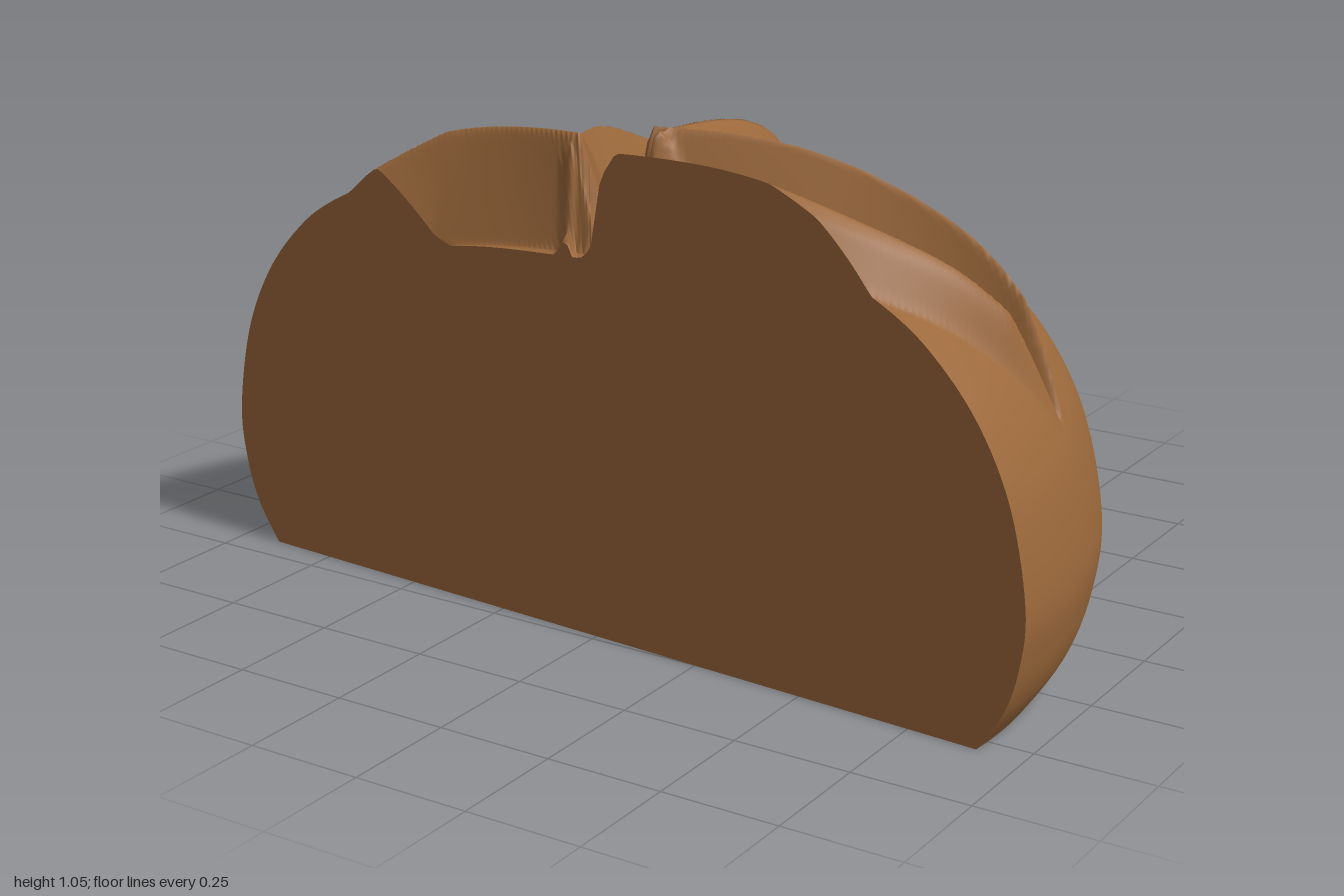
import * as THREE from 'three';

// Open underneath, so the shell shows from both sides
const CRUST = new THREE.MeshStandardMaterial({ color: 0x9b683b, side: THREE.DoubleSide });
CRUST.name = 'crust brown';

const COLS = 380, ROWS = 140;
const POLE_Z = 0.485, CENTRE_Z = 0.45;      // middle of the cut, middle of the round loaf
const TILT = Math.atan(0.0625);             // angle of the cut

// Dome profile: radius, height
const profile = new THREE.SplineCurve([
  [0, 0.97], [0.3, 0.95], [0.5, 0.902], [0.7, 0.813], [0.81, 0.73], [0.9, 0.62],
  [0.965, 0.48], [1, 0.3], [0.99, 0.18], [0.96, 0.085], [0.905, 0],
].map(([r, y]) => new THREE.Vector2(r, y))).getSpacedPoints(ROWS);

// Slashes: start, end, cross-section (sideways offset, height), length of the fading end
const slashes = [
  { a: [0, 0.46], b: [-0.2, -0.455], fade: 0.07,
    section: [[-0.19, 0], [-0.14, 0.045], [-0.04, -0.12], [0.01, -0.1], [0.07, -0.15], [0.16, 0.085], [0.18, 0.075], [0.25, 0]] },
  { a: [0, 0.45], b: [0.91, 0.235], fade: 0.1,
    section: [[-0.2, 0], [-0.15, 0.075], [-0.125, 0.09], [-0.03, -0.15], [0.08, 0.05], [0.16, 0.09], [0.19, 0.075], [0.25, 0]] },
  { a: [0, 0.46], b: [-0.68, 0.52], fade: 0.4,
    section: [[-0.25, 0], [-0.1, -0.17], [0.03, -0.17], [0.1, 0.065], [0.13, 0.06], [0.24, 0]] },
];

function sample(points, d) {
  for (let i = 1; i < points.length; i++) {
    const [d0, h0] = points[i - 1], [d1, h1] = points[i];
    if (d >= d0 && d < d1) return h0 + (h1 - h0) * (d - d0) / (d1 - d0);
  }
  return 0;
}

// Raised lips and cut valleys of all slashes at one place
function slashHeight(x, z) {
  let up = 0, down = 0;
  for (const { a, b, fade, section } of slashes) {
    const len = Math.hypot(b[0] - a[0], b[1] - a[1]);
    const dx = (b[0] - a[0]) / len, dz = (b[1] - a[1]) / len;
    const s = ((x - a[0]) * dx + (z - a[1]) * dz) / len;
    const side = (z - a[1]) * dx - (x - a[0]) * dz;
    const strength = s < 0 ? Math.max(0, 1 + s * 20) : Math.min(1, Math.max(0, (1 - s) / fade));
    if (strength === 0) continue;
    const wave = Math.sin(Math.PI * Math.min(1, Math.max(0, s)));
    const width = s < 0.5 ? 0.48 + 0.52 * wave : 0.15 + 0.85 * wave;
    const h = sample(section, side / width) * strength;
    up = Math.max(up, h);
    down = Math.min(down, h);
  }
  return up + down;
}

export function createModel() {
  const group = new THREE.Group();
  group.name = 'halfLoaf';
  const add = (name, geometry) => {
    const mesh = new THREE.Mesh(geometry, CRUST);
    mesh.name = name;
    group.add(mesh);
    return mesh;
  };

  // Crust: rings of the dome profile, swept half way round
  const positions = [], index = [];
  const right = [], left = [];
  for (let i = 0; i <= ROWS; i++) {
    for (let j = 0; j <= COLS; j++) {
      const phi = Math.PI * j / COLS - TILT;
      const c = Math.cos(phi), s = -Math.sin(phi);
      const off = POLE_Z - CENTRE_Z;
      const reach = -off * s + Math.sqrt(1 - off * off * c * c);
      const r = reach * profile[i].x;
      const x = r * c, z = POLE_Z + r * s;
      const y = profile[i].y + (profile[i].y > 0.55 ? slashHeight(x, z) : 0);
      positions.push(x, y, z);
      if (j === 0) right.push(new THREE.Vector2(r, y));
      if (j === COLS) left.push(new THREE.Vector2(-r, y));
      if (i < ROWS && j < COLS) {
        const a = i * (COLS + 1) + j, b = a + COLS + 1;
        if (i > 0) index.push(a, b, a + 1);
        index.push(b, b + 1, a + 1);
      }
    }
  }
  const crust = new THREE.BufferGeometry();
  crust.setAttribute('position', new THREE.Float32BufferAttribute(positions, 3));
  crust.setIndex(index);
  crust.computeVertexNormals();
  add('crust', crust);

  // Flat cut face
  const outline = [...right.reverse(), ...left.slice(1)];
  const cut = add('cutFace', new THREE.ShapeGeometry(new THREE.Shape(outline)));
  cut.position.z = POLE_Z;
  cut.rotation.y = -TILT;

  return group;
}
